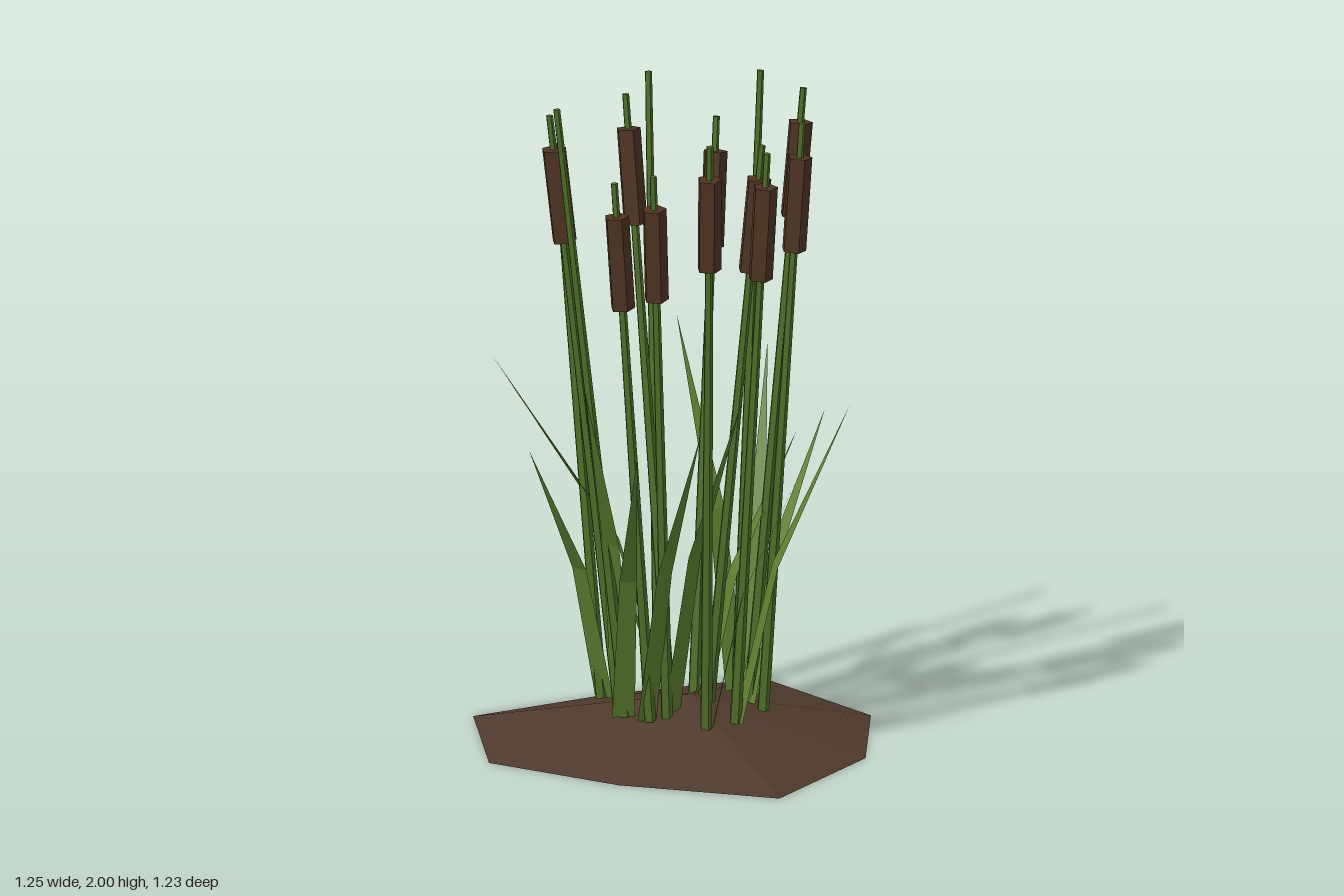
import * as THREE from 'three';

const mat = (color, side = THREE.FrontSide) =>
  new THREE.MeshStandardMaterial({ color, flatShading: true, side });
const soil = mat(0x4f3a2c);
const stemGreen = mat(0x4f7028);
const leafGreen = mat(0x5f8030, THREE.DoubleSide);
const headBrown = mat(0x4f3422);
const BASE_Y = 0.1;

// Stems: base x, z, then tip x, y, z, then whether it bears a seed head
const STEMS = [
  [0.05, -0.365, 0.095, 1.94, -0.54, 0],
  [0.23, -0.195, 0.32, 2.0, -0.225, 0],
  [-0.19, -0.07, -0.405, 2.0, -0.09, 0],
  [-0.175, -0.28, -0.275, 1.8, -0.39, 0],
  [-0.015, -0.14, -0.08, 1.95, -0.315, 1],
  [0.085, -0.185, 0.225, 1.84, -0.335, 1],
  [-0.18, -0.14, -0.395, 1.96, -0.165, 1],
  [-0.145, 0.01, -0.275, 1.79, 0.04, 1],
  [-0.09, 0.01, -0.195, 1.83, 0.145, 1],
  [-0.025, 0.15, -0.095, 1.96, 0.335, 1],
  [0.06, -0.025, 0.18, 1.87, 0.1, 1],
  [0.21, 0.04, 0.315, 1.92, 0.09, 1],
  [0.21, -0.06, 0.375, 1.99, -0.035, 1],
  [0.08, 0.13, 0.13, 1.89, 0.25, 1],
];

// Leaves: base x, z, then tip x, y, z
const LEAVES = [
  [0.05, -0.37, -0.385, 1.1, -0.605],
  [0.225, -0.19, 0.21, 1.16, -0.59],
  [0.25, -0.13, 0.455, 1.08, -0.475],
  [0.2, -0.055, 0.51, 0.94, -0.18],
  [0.045, -0.04, 0.37, 0.92, -0.07],
  [0.09, 0.13, 0.44, 1.05, 0.16],
  [0, 0.145, 0.235, 0.92, 0.28],
  [-0.07, 0, 0.035, 1.14, 0.28],
  [-0.15, 0, -0.1, 1.05, 0.28],
  [-0.2, -0.06, -0.295, 1.0, 0.255],
  [-0.165, -0.14, -0.405, 1.18, 0.12],
  [-0.165, -0.28, -0.49, 0.95, -0.1],
  [-0.005, -0.145, -0.52, 1.16, -0.215],
];

function fromTriangles(points, faces) {
  const g = new THREE.BufferGeometry();
  g.setAttribute('position', new THREE.Float32BufferAttribute(points.flat(), 3));
  g.setIndex(faces.flat());
  const flat = g.toNonIndexed();
  flat.computeVertexNormals();
  return flat;
}

// Low irregular cone of soil with a flat underside
function makeMound() {
  const rim = [[0.01, -0.615], [0.49, -0.58], [0.62, -0.09], [0.42, 0.32],
    [0.01, 0.61], [-0.37, 0.285], [-0.625, -0.09], [-0.465, -0.565]];
  const n = rim.length;
  const points = rim.map(([x, z]) => [x, 0, z]);
  points.push([0.02, 0.145, -0.065], [0, 0, 0]);
  const faces = [];
  for (let i = 0; i < n; i++) {
    const j = (i + 1) % n;
    faces.push([j, i, n], [i, j, n + 1]);
  }
  const mesh = new THREE.Mesh(fromTriangles(points, faces), soil);
  mesh.name = 'soilMound';
  return mesh;
}

// Tapered five-sided stem, with a seed head just below the tip
function makeStem([bx, bz, tx, ty, tz, bearsHead]) {
  const base = new THREE.Vector3(bx, BASE_Y, bz);
  const axis = new THREE.Vector3(tx, ty, tz).sub(base);
  const length = axis.length();
  const group = new THREE.Group();
  group.name = bearsHead ? 'reedWithHead' : 'plainReed';
  group.position.copy(base);
  group.quaternion.setFromUnitVectors(new THREE.Vector3(0, 1, 0), axis.normalize());

  const stem = new THREE.Mesh(new THREE.CylinderGeometry(0.011, 0.019, length, 5), stemGreen);
  stem.name = 'stem';
  stem.position.y = length / 2;
  group.add(stem);

  if (bearsHead) {
    const head = new THREE.Mesh(new THREE.CylinderGeometry(0.038, 0.038, 0.29, 5), headBrown);
    head.name = 'seedHead';
    head.position.y = length - 0.25;
    group.add(head);
  }
  return group;
}

// Thin blade: upright lower half, then bent outward to a point
function makeLeaf([bx, bz, tx, ty, tz]) {
  const out = new THREE.Vector2(tx - bx, tz - bz).normalize();
  const t = 0.33;
  const mx = bx + (tx - bx) * t, mz = bz + (tz - bz) * t;
  const my = BASE_Y + (ty - BASE_Y) * 0.5;
  const pair = (x, y, z, w) => [-1, 1].map((s) => [x - out.y * w * s, y, z + out.x * w * s]);
  const points = [...pair(bx, BASE_Y, bz, 0.034), ...pair(mx, my, mz, 0.026), [tx, ty, tz]];
  const faces = [[0, 2, 1], [1, 2, 3], [2, 4, 3]];
  const mesh = new THREE.Mesh(fromTriangles(points, faces), leafGreen);
  mesh.name = 'leaf';
  return mesh;
}

export function createModel() {
  const model = new THREE.Group();
  model.name = 'reedClump';
  model.add(makeMound());
  STEMS.forEach((s) => model.add(makeStem(s)));
  LEAVES.forEach((l) => model.add(makeLeaf(l)));
  return model;
}
